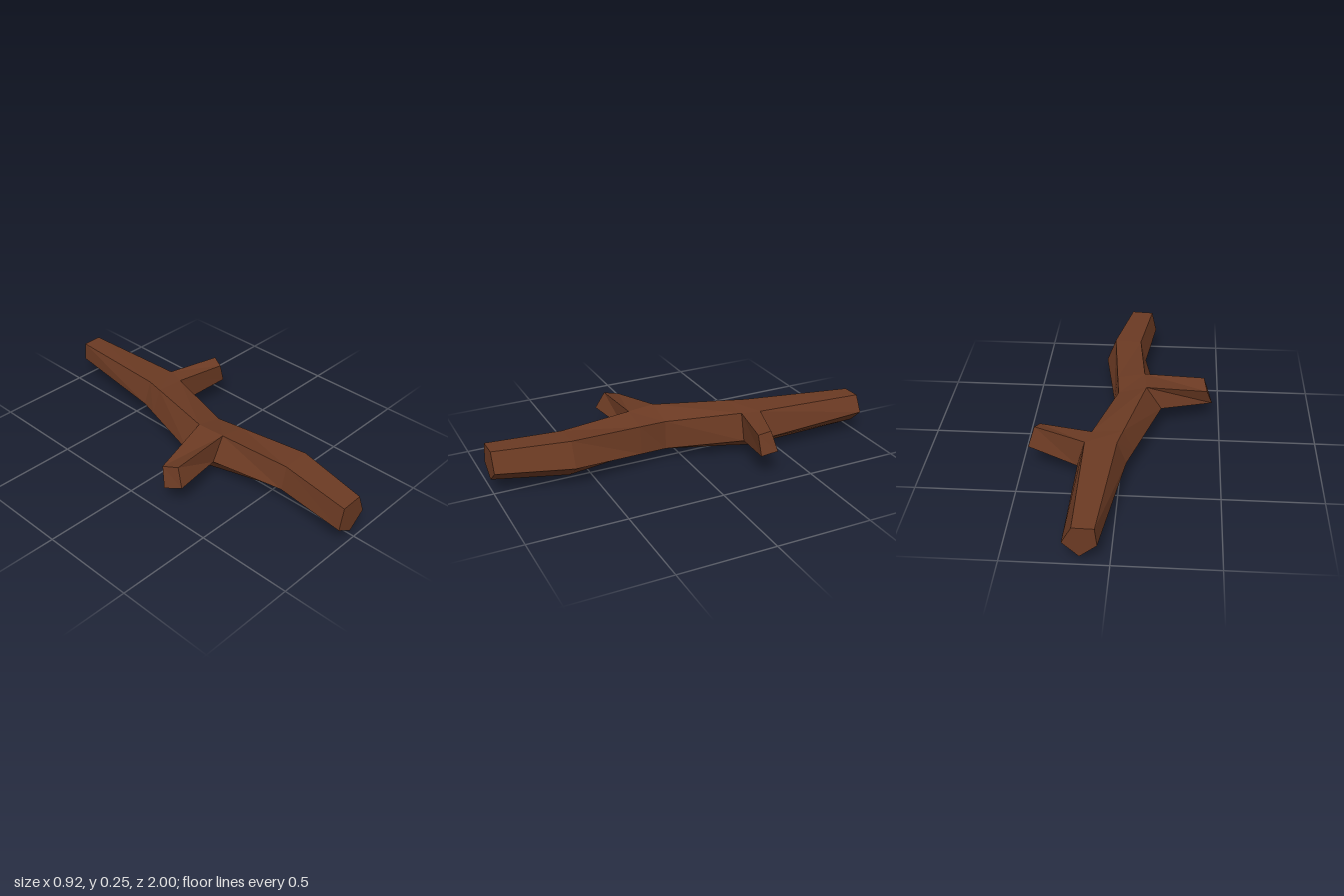
import * as THREE from 'three';

const bark = new THREE.MeshStandardMaterial({ color: 0x6b3a23 });
bark.name = 'barkBrown';

const mix = (a, b, t) => a.map((p, i) => p.map((v, k) => v + (b[i][k] - v) * t));

// Joins rings of corners into faceted walls; skip(ring, side) leaves an opening.
function loft(name, rings, capEnd, skip = () => false) {
  const pos = [];
  const tri = (...corners) => corners.forEach((c) => pos.push(...c));
  const n = rings[0].length;
  for (let r = 0; r < rings.length - 1; r++) {
    for (let i = 0; i < n; i++) {
      if (skip(r, i)) continue;
      const j = (i + 1) % n, a = rings[r], b = rings[r + 1];
      tri(a[i], a[j], b[j]);
      tri(a[i], b[j], b[i]);
    }
  }
  const last = rings[rings.length - 1];
  for (let i = 1; i < n - 1; i++) {
    tri(rings[0][0], rings[0][i + 1], rings[0][i]);
    if (capEnd) tri(last[0], last[i], last[i + 1]);
  }
  const geo = new THREE.BufferGeometry();
  geo.setAttribute('position', new THREE.Float32BufferAttribute(pos, 3));
  geo.computeVertexNormals();
  const mesh = new THREE.Mesh(geo, bark);
  mesh.name = name;
  return mesh;
}

export function createModel() {
  const group = new THREE.Group();
  group.name = 'woodenBranch';

  // Five-sided sections, front to back: upper left, upper right, right, bottom, left
  const section = (z, pts) => pts.map(([x, y]) => [x, y, z]);
  const front = section(1, [[-0.105, 0.233], [0.01, 0.238], [0.05, 0.135], [-0.04, 0.063], [-0.13, 0.12]]);
  const bend = section(0.62, [[-0.055, 0.24], [0.088, 0.246], [0.137, 0.118], [0.03, 0.033], [-0.085, 0.12]]);
  const middle = section(0.095, [[-0.11, 0.258], [0.037, 0.22], [0.045, 0.07], [-0.1, 0.013], [-0.19, 0.13]]);
  const fork = section(-0.39, [[0.01, 0.24], [0.168, 0.235], [0.208, 0.092], [0.085, 0.003], [-0.035, 0.12]]);
  const back = section(-1, [[0.065, 0.208], [0.167, 0.21], [0.213, 0.125], [0.135, 0.05], [0.055, 0.115]]);

  // Extra rings where the twigs meet the trunk
  const nearTwig = mix(middle, bend, 0.28);
  const farTwig = mix(fork, middle, 0.2);
  const rings = [front, bend, nearTwig, middle, farTwig, fork, back];
  group.add(loft('trunk', rings, true,
    (r, i) => (r === 2 && i === 4) || (r === 4 && i === 1)));

  // Twigs run from the tip down to the opening in the trunk
  group.add(loft('rightTwig', [
    [[-0.43, 0.205, 0.16], [-0.413, 0.235, 0.25], [-0.435, 0.145, 0.295], [-0.46, 0.11, 0.2]],
    [middle[0], nearTwig[0], nearTwig[4], middle[4]],
  ], false));
  group.add(loft('leftTwig', [
    [[0.405, 0.233, -0.24], [0.425, 0.253, -0.3], [0.457, 0.15, -0.325], [0.435, 0.128, -0.245]],
    [farTwig[1], fork[1], fork[2], farTwig[2]],
  ], false));

  return group;
}
